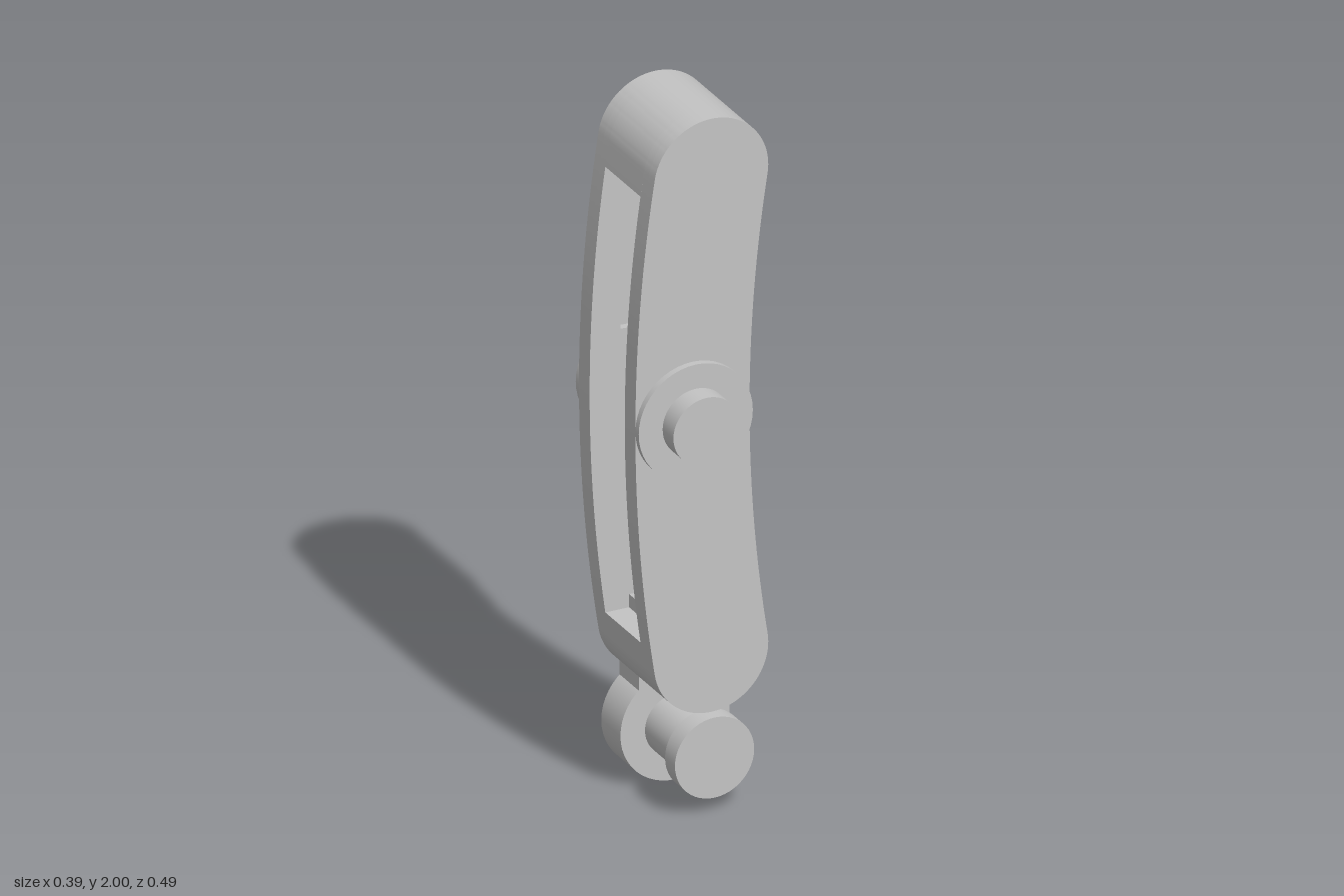
import * as THREE from 'three';
import { toCreasedNormals } from 'three/addons/utils/BufferGeometryUtils.js';

// The link follows a shallow arc, bowed towards -x and centred on MID_Y
const R = 4.387, CX = 4.3585, MID_Y = 1.142, END = 0.1582, WIDTH = 0.167, INNER = 0.101;

// Curved capsule: half-width r, half-angle a along the arc (y = 0 is the middle)
function capsule(r, a, PathType = THREE.Shape) {
  const p = new PathType();
  const ex = CX - R * Math.cos(a), ey = R * Math.sin(a);
  p.absarc(CX, 0, R - r, Math.PI + a, Math.PI - a, true);
  p.absarc(ex, ey, r, -a, Math.PI - a, false);
  p.absarc(CX, 0, R + r, Math.PI - a, Math.PI + a, false);
  p.absarc(ex, -ey, r, a - Math.PI, a, false);
  return p;
}

// Rounded end of the capsule, cut flat at height y
function capsuleEnd(r, a, y) {
  const s = new THREE.Shape();
  s.absarc(CX, 0, R - r, Math.PI - Math.asin(y / (R - r)), Math.PI - a, true);
  s.absarc(CX - R * Math.cos(a), R * Math.sin(a), r, -a, Math.PI - a, false);
  s.absarc(CX, 0, R + r, Math.PI - a, Math.PI - Math.asin(y / (R + r)), false);
  return s;
}

// Square-ended piece of the same arc
function band(r, a) {
  const s = new THREE.Shape();
  s.absarc(CX, 0, R - r, Math.PI + a, Math.PI - a, true);
  s.absarc(CX, 0, R + r, Math.PI - a, Math.PI + a, false);
  return s;
}

export function createModel() {
  const model = new THREE.Group();
  model.name = 'curvedLink';
  const steel = new THREE.MeshStandardMaterial({ color: 0xc4c4c4 });
  steel.name = 'light grey steel';

  function add(name, geometry, x = 0, y = 0, z = 0) {
    const mesh = new THREE.Mesh(geometry, steel);
    mesh.name = name;
    mesh.position.set(x, y, z);
    model.add(mesh);
    return mesh;
  }
  // Plate extruded from z0 to z1
  function plate(name, shape, z0, z1, x = 0, y = 0) {
    const g = new THREE.ExtrudeGeometry(shape, { depth: z1 - z0, bevelEnabled: false, curveSegments: 32 });
    return add(name, toCreasedNormals(g, 0.5), x, y, z0);
  }
  // Round pin along z from z0 to z1
  function disc(name, r, x, y, z0, z1) {
    const g = new THREE.CylinderGeometry(r, r, z1 - z0, 48).rotateX(Math.PI / 2);
    return add(name, g, x, y, (z0 + z1) / 2);
  }

  // Side cheeks with a slot recessed in their inner faces and a slider in each slot
  const solid = capsule(WIDTH, END);
  const grooved = capsule(WIDTH, END);
  grooved.holes.push(capsule(0.08, 0.128, THREE.Path));
  const slider = band(0.08, 0.16 / R);
  plate('frontCheek', solid, 0.13, 0.162, 0, MID_Y);
  plate('frontCheekInner', grooved, INNER, 0.13, 0, MID_Y);
  plate('frontSlider', slider, 0.108, 0.13, 0, MID_Y);
  plate('backCheek', solid, -0.162, -0.13, 0, MID_Y);
  plate('backCheekInner', grooved, -0.13, -INNER, 0, MID_Y);
  plate('backSlider', slider, -0.13, -0.108, 0, MID_Y);

  // Solid rounded ends joining the cheeks
  const end = capsuleEnd(WIDTH, END, 0.645);
  plate('topEnd', end, -INNER, INNER, 0, MID_Y);
  const bottom = plate('bottomEnd', end, -INNER, INNER, 0, MID_Y);
  bottom.rotation.x = Math.PI;
  bottom.position.z = INNER;

  // Middle washers and trunnion pins on both faces
  const PX = -0.0285;
  disc('frontWasher', WIDTH, PX, MID_Y, 0.162, 0.181);
  disc('backWasher', WIDTH, PX, MID_Y, -0.181, -0.162);
  disc('frontPin', 0.097, PX, MID_Y, 0.181, 0.243);
  disc('backPin', 0.097, PX, MID_Y, -0.243, -0.181);

  // Bolt heads at both ends of the back face
  for (const [name, y] of [['topBolt', 1.844], ['bottomBolt', 0.442]]) {
    disc(name, 0.098, 0.027, y, -0.196, -0.162);
  }

  // Hanging lug with its neck, whose tab pokes through the window floor into the slot
  const LX = 0.026, LY = 0.16;
  disc('lug', 0.16, LX, LY, -0.155, -0.045);
  add('lugNeck', new THREE.BoxGeometry(0.212, 0.28, 0.11), LX, 0.3, -0.1);
  add('neckTab', new THREE.BoxGeometry(0.212, 0.115, 0.09), LX, 0.4775, -0.09);

  // Crank pin with a flanged end
  disc('crankPin', 0.088, LX, LY, -0.045, 0.125);
  disc('crankPinFlange', 0.116, LX, LY, 0.125, 0.182);

  // Slotted screw head: thin base and two raised segments
  const HR = 0.13, gap = 0.018, t = Math.asin(gap / HR);
  disc('screwBase', HR, LX, LY, -0.17, -0.155);
  for (const start of [0, Math.PI]) {
    const half = new THREE.Shape();
    half.absarc(0, 0, HR, start + t, start + Math.PI - t, false);
    plate('screwHeadHalf', half, -0.189, -0.17, LX, LY);
  }
  return model;
}
